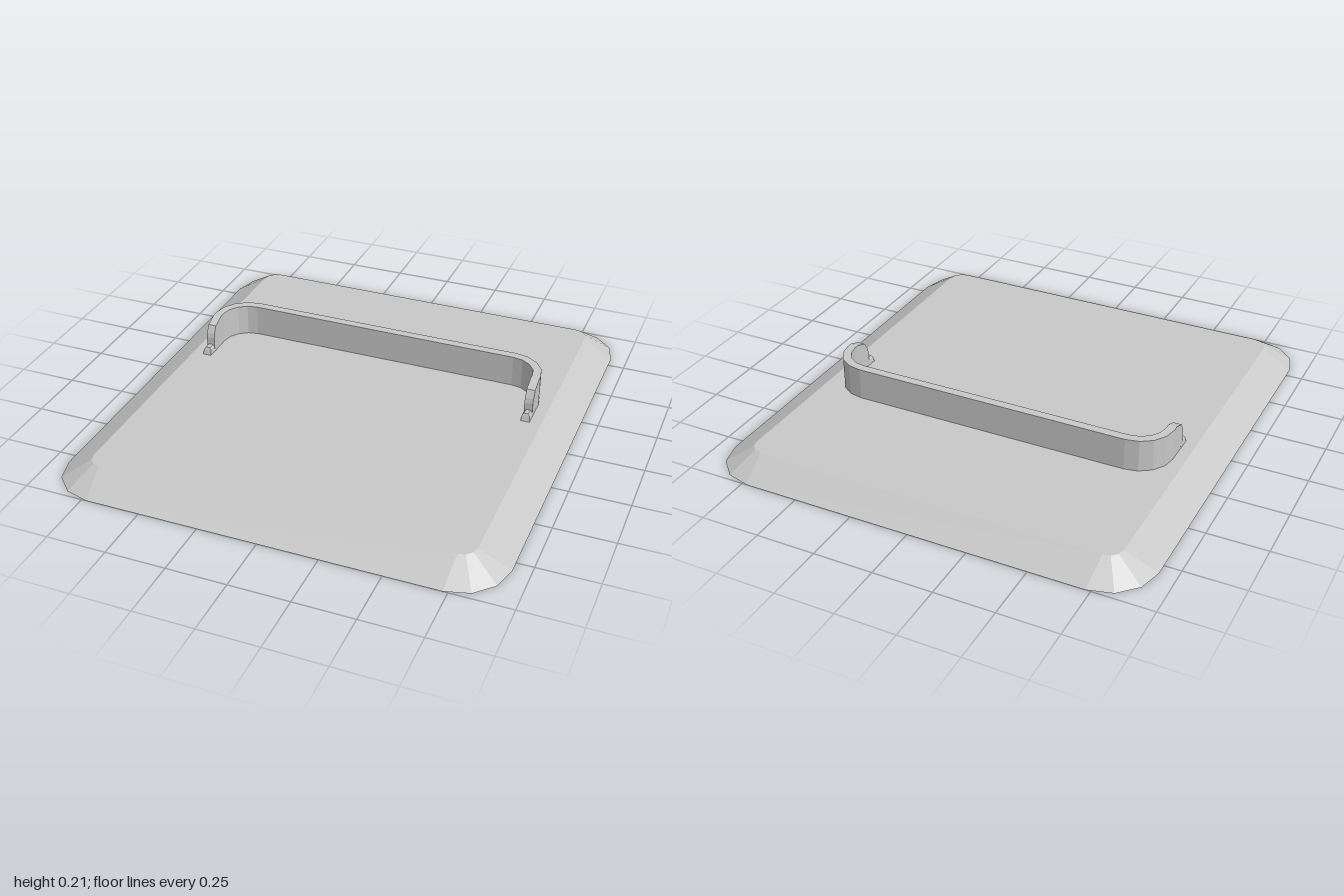
import * as THREE from 'three';

const grey = new THREE.MeshStandardMaterial({ color: 0xc8c8c8 });
grey.name = 'plainGrey';

const PLATE_TOP = 0.076;

// Skins a row of matching convex rings and closes both ends, with hard edges.
function loft(name, rings) {
  const pos = [];
  const tri = (a, b, c) => pos.push(...a, ...b, ...c);
  const n = rings[0].length;
  for (let r = 0; r < rings.length - 1; r++) {
    const a = rings[r], b = rings[r + 1];
    for (let i = 0; i < n; i++) {
      const k = (i + 1) % n;
      tri(a[i], a[k], b[k]);
      tri(a[i], b[k], b[i]);
    }
  }
  const first = rings[0], last = rings[rings.length - 1];
  for (let i = 1; i < n - 1; i++) {
    tri(first[0], first[i + 1], first[i]);
    tri(last[0], last[i], last[i + 1]);
  }
  const geo = new THREE.BufferGeometry();
  geo.setAttribute('position', new THREE.Float32BufferAttribute(pos, 3));
  geo.computeVertexNormals();
  const mesh = new THREE.Mesh(geo, grey);
  mesh.name = name;
  return mesh;
}

// Rectangle with three-sided rounded corners, lying flat at height y.
function roundedRing(hx, hz, radius, y, zc = 0, xc = 0) {
  const ring = [];
  for (let q = 0; q < 4; q++) {
    const sx = q === 0 || q === 3 ? 1 : -1;
    const sz = q < 2 ? -1 : 1;
    for (let j = 0; j <= 3; j++) {
      const t = (q * 3 + j) * Math.PI / 6;
      ring.push([
        xc + sx * (hx - radius) + radius * Math.cos(t),
        y,
        zc + sz * (hz - radius) - radius * Math.sin(t),
      ]);
    }
  }
  return ring;
}

// Upright strip bent into a wide U, with its two free ends sloping down.
function makeHandle() {
  const y0 = PLATE_TOP - 0.002;
  const half = [
    [0.75, -0.097, 0.714, -0.097, 0.14],
    [0.75, -0.102, 0.714, -0.102, 0.16],
    [0.75, -0.12, 0.714, -0.12, 0.193],
    [0.75, -0.175, 0.714, -0.175, 0.214],
  ];
  for (let j = 0; j <= 4; j++) {
    const t = j * Math.PI / 8, c = Math.cos(t), s = Math.sin(t);
    half.push([0.6 + 0.15 * c, -0.2 - 0.148 * s, 0.6 + 0.114 * c, -0.2 - 0.11 * s, 0.214]);
  }
  const mirrored = half.map(([ox, oz, ix, iz, h]) => [-ox, oz, -ix, iz, h]).reverse();
  return loft('handle', [...half, ...mirrored].map(([ox, oz, ix, iz, h]) => [
    [ox, y0, oz], [ix, y0, iz], [ix, h, iz], [ox, h, oz],
  ]));
}

// Small tapered foot in front of each handle end.
function makeFoot(name, side) {
  const box = (hx, z0, z1, y) => [
    [side * 0.732 - hx, y, z1], [side * 0.732 + hx, y, z1],
    [side * 0.732 + hx, y, z0], [side * 0.732 - hx, y, z0],
  ];
  return loft(name, [
    box(0.019, -0.115, -0.055, PLATE_TOP - 0.002),
    box(0.017, -0.112, -0.062, 0.098),
    box(0.01, -0.105, -0.067, 0.108),
  ]);
}

export function createModel() {
  const model = new THREE.Group();
  model.name = 'plateWithHandle';

  // Plate with wide bevelled rim
  model.add(loft('basePlate', [
    roundedRing(0.93, 1, 0.2, 0),
    roundedRing(0.8, 0.875, 0.06, PLATE_TOP, -0.005),
  ]));

  model.add(makeHandle());
  model.add(makeFoot('leftFoot', 1), makeFoot('rightFoot', -1));
  return model;
}
